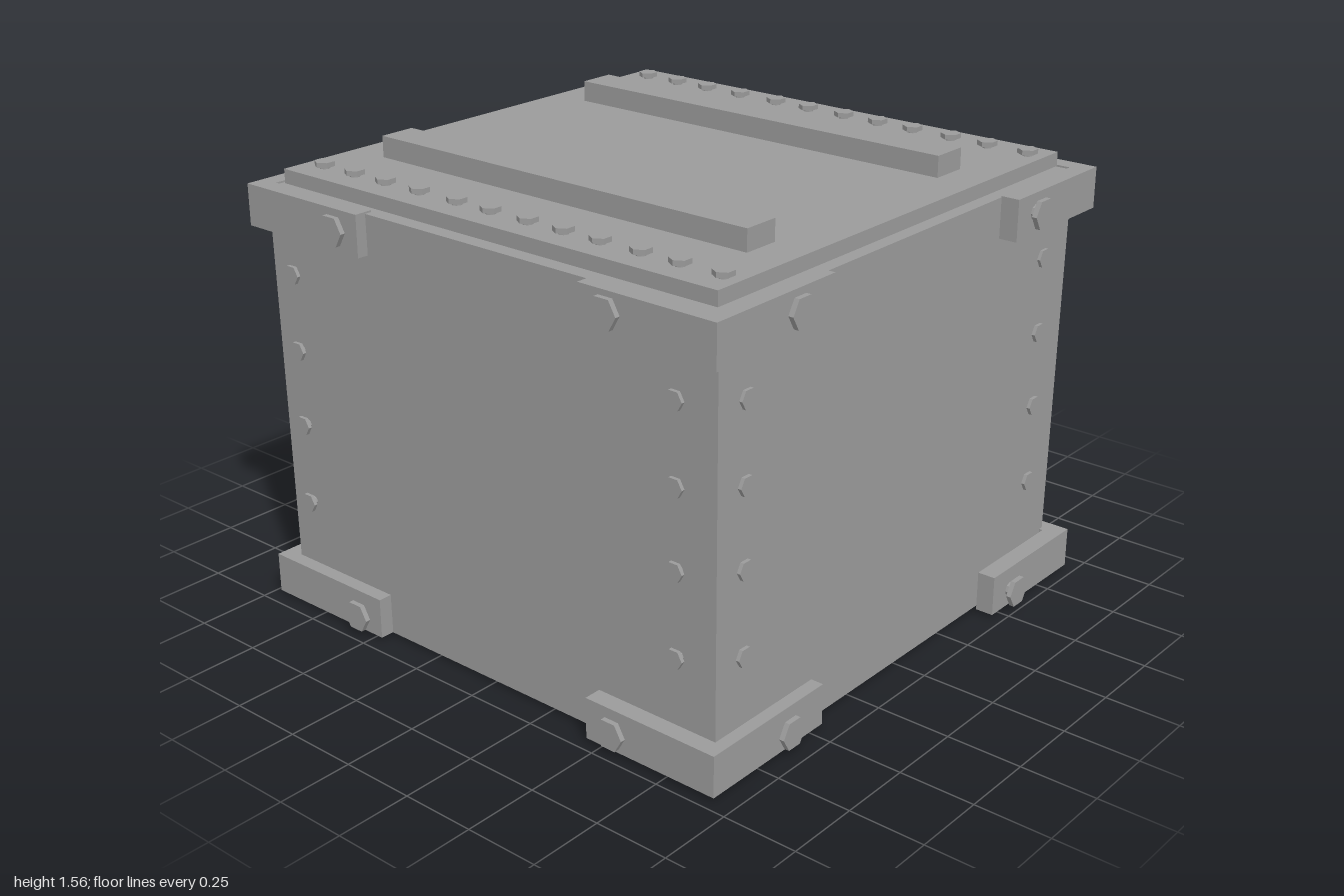
import * as THREE from 'three';

const material = new THREE.MeshStandardMaterial({ color: 0x9b9b9b, flatShading: true });

function addMesh(parent, name, geometry, x = 0, y = 0, z = 0) {
  const mesh = new THREE.Mesh(geometry, material);
  mesh.name = name;
  mesh.position.set(x, y, z);
  parent.add(mesh);
}

// box given by its limits on each axis
function addBox(parent, name, [x0, x1], [y0, y1], [z0, z1]) {
  addMesh(parent, name, new THREE.BoxGeometry(x1 - x0, y1 - y0, z1 - z0),
    (x0 + x1) / 2, (y0 + y1) / 2, (z0 + z1) / 2);
}

// rotations that turn an upright bolt to face along each axis
const boltTurns = {
  'y+': [0, 0, 0],
  'x+': [0, 0, -Math.PI / 2],
  'x-': [0, 0, Math.PI / 2],
  'z+': [Math.PI / 2, Math.PI / 2, 0],
  'z-': [-Math.PI / 2, Math.PI / 2, 0],
};

// hex-headed bolt; its outer face is at the given position, pointing along dir
function addBolt(parent, name, radius, length, headHeight, dir, x, y, z) {
  const bolt = new THREE.Group();
  bolt.name = name;
  addMesh(bolt, 'boltHead', new THREE.CylinderGeometry(radius, radius, headHeight, 6), 0, -headHeight / 2, 0);
  addMesh(bolt, 'boltShaft', new THREE.CylinderGeometry(radius * 0.5, radius * 0.5, length, 8), 0, -length / 2 - 0.002, 0);
  bolt.rotation.set(...boltTurns[dir]);
  bolt.position.set(x, y, z);
  parent.add(bolt);
}

// L-shaped corner bracket: outer corner (cx, cz), arm ends (ex, ez)
function bracketGeometry(cx, cz, ex, ez, height, thickness) {
  const ix = cx - Math.sign(cx) * thickness;
  const iz = cz - Math.sign(cz) * thickness;
  const shape = new THREE.Shape([
    [cx, cz], [ex, cz], [ex, iz], [ix, iz], [ix, ez], [cx, ez],
  ].map(([a, b]) => new THREE.Vector2(a, b)));
  const geometry = new THREE.ExtrudeGeometry(shape, { depth: height, bevelEnabled: false });
  return geometry.rotateX(Math.PI / 2);
}

// crate body: walls narrow slightly downwards, floor sags a little in the middle
function bodyGeometry() {
  const geometry = new THREE.BoxGeometry(1.815, 1.427, 1.802, 4, 1, 4);
  const p = geometry.attributes.position;
  for (let i = 0; i < p.count; i++) {
    if (p.getY(i) > 0) continue;
    const inner = Math.abs(p.getX(i)) < 0.6 && Math.abs(p.getZ(i)) < 0.6;
    if (inner) p.setY(i, p.getY(i) - 0.01);
    p.setX(i, p.getX(i) * 0.988);
    p.setZ(i, p.getZ(i) * 0.988);
  }
  geometry.computeVertexNormals();
  return geometry;
}

export function createModel() {
  const crate = new THREE.Group();
  crate.name = 'crate';

  addMesh(crate, 'body', bodyGeometry(), -0.009, 0.7235, 0.0115);

  // lid with two raised bars and two rows of bolts
  const lid = new THREE.Group();
  lid.name = 'lid';
  crate.add(lid);
  addBox(lid, 'lidPanel', [-0.881, 0.862], [1.443, 1.49], [-0.85, 0.873]);
  for (const z of [[-0.482, -0.355], [0.46, 0.585]]) {
    addBox(lid, 'lidBar', [-0.742, 0.73], [1.488, 1.56], z);
  }
  const lidBoltX = [-0.79, -0.65, -0.51, -0.36, -0.2, -0.06, 0.09, 0.23, 0.37, 0.52, 0.66, 0.81];
  for (const x of lidBoltX) {
    for (const z of [-0.75, 0.785]) addBolt(lid, 'lidBolt', 0.033, 0.05, 0.016, 'y+', x, 1.514, z);
  }

  // corner brackets: outer corner, arm ends, bolt places and bolt outer faces
  const corners = [
    { cx: -0.97, cz: 0.95, ex: -0.465, ez: 0.473, bx: -0.555, bz: 0.56, fx: -1, fz: 0.98 },
    { cx: 0.932, cz: 0.962, ex: 0.445, ez: 0.45, bx: 0.547, bz: 0.62, fx: 0.958, fz: 0.98 },
    { cx: -0.957, cz: -0.943, ex: -0.478, ez: -0.44, bx: -0.61, bz: -0.55, fx: -1, fz: -0.98 },
    { cx: 0.964, cz: -0.925, ex: 0.455, ez: -0.453, bx: 0.57, bz: -0.555, fx: 1, fz: -0.98 },
  ];
  for (const [name, top, boltY] of [['topBracket', 1.443, 1.38], ['bottomBracket', 0.148, 0.068]]) {
    for (const c of corners) {
      const bracket = new THREE.Group();
      bracket.name = name;
      crate.add(bracket);
      addMesh(bracket, 'bracketAngle', bracketGeometry(c.cx, c.cz, c.ex, c.ez, 0.137, 0.062), 0, top, 0);
      addBolt(bracket, 'bracketBolt', 0.052, 0.1, 0.017, c.cz > 0 ? 'z+' : 'z-', c.bx, boltY, c.fz);
      addBolt(bracket, 'bracketBolt', 0.052, 0.1, 0.017, c.cx > 0 ? 'x+' : 'x-', c.fx, boltY, c.bz);
    }
  }

  // columns of small bolts down the edges of each wall
  for (const y of [0.38, 0.655, 0.913, 1.17]) {
    for (const x of [-0.813, 0.757]) {
      addBolt(crate, 'wallBolt', 0.032, 0.05, 0.012, 'z+', x, y, 0.932);
      addBolt(crate, 'wallBolt', 0.032, 0.05, 0.012, 'z-', x, y, -0.9);
    }
    for (const z of [0.79, -0.738]) {
      addBolt(crate, 'wallBolt', 0.032, 0.05, 0.012, 'x+', 0.907, y, z);
      addBolt(crate, 'wallBolt', 0.032, 0.05, 0.012, 'x-', -0.934, y, z);
    }
  }
  return crate;
}
